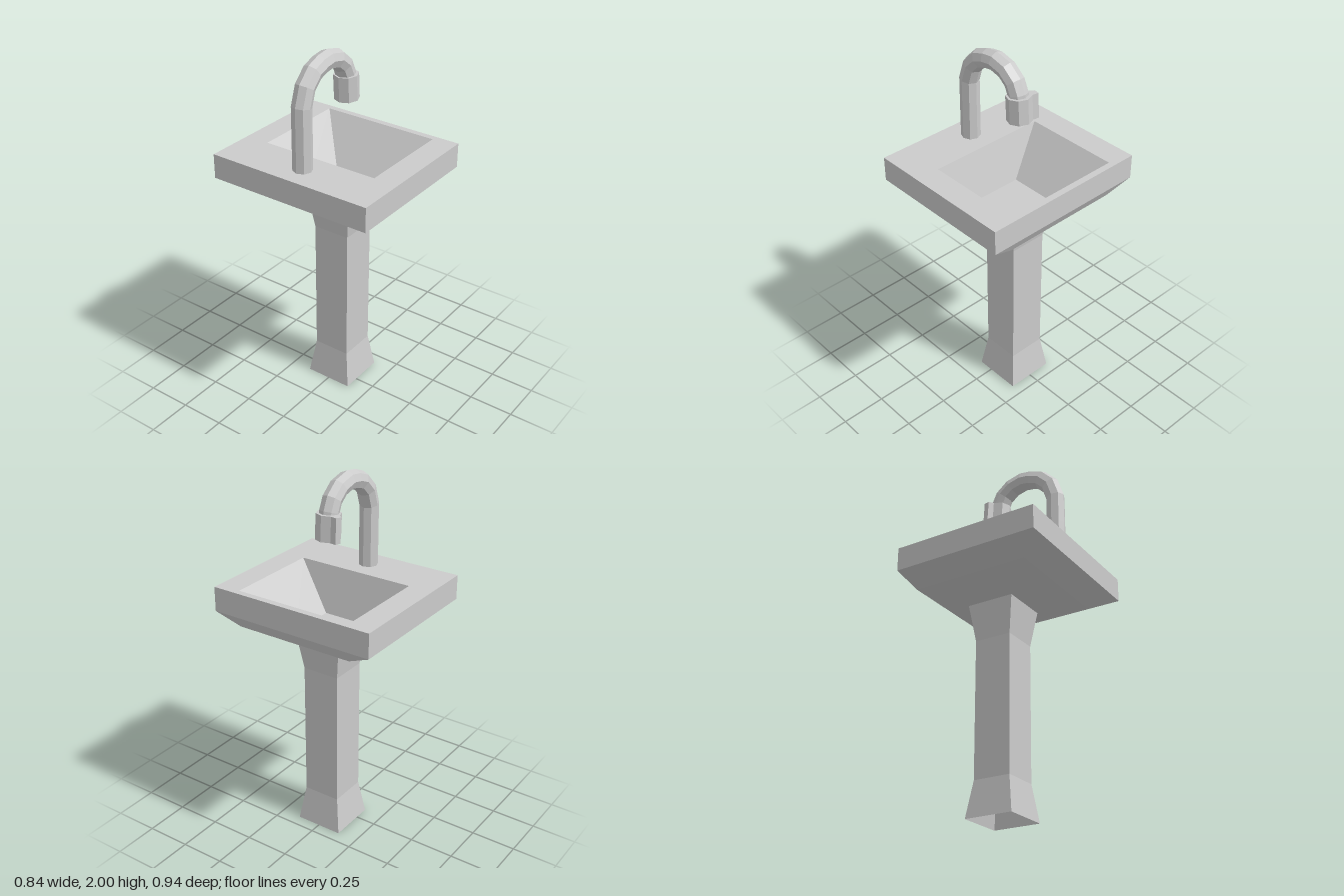
import * as THREE from 'three';

const material = new THREE.MeshStandardMaterial({ color: 0xcccccc, flatShading: true, side: THREE.DoubleSide });

// Skin through rectangular rings [y, centreX, halfX, halfZ]; optionally closes the last ring.
function loftRings(rings, closeEnd) {
  const corners = rings.map(([y, cx, hx, hz]) => [
    [cx - hx, y, hz], [cx + hx, y, hz], [cx + hx, y, -hz], [cx - hx, y, -hz],
  ]);
  const positions = [];
  const quad = (a, b, c, d) => positions.push(...a, ...b, ...c, ...a, ...c, ...d);
  for (let r = 0; r < corners.length - 1; r++) {
    for (let i = 0; i < 4; i++) {
      const j = (i + 1) % 4;
      quad(corners[r][i], corners[r][j], corners[r + 1][j], corners[r + 1][i]);
    }
  }
  if (closeEnd) quad(...corners[corners.length - 1]);
  const geometry = new THREE.BufferGeometry();
  geometry.setAttribute('position', new THREE.Float32BufferAttribute(positions, 3));
  geometry.computeVertexNormals();
  return geometry;
}

export function createModel() {
  const model = new THREE.Group();
  model.name = 'pedestalSink';
  const add = (name, geometry) => {
    const mesh = new THREE.Mesh(geometry, material);
    mesh.name = name;
    model.add(mesh);
    return mesh;
  };

  // Square column flared at both ends, open underneath
  add('pedestal', loftRings([
    [0, 0.05, 0.135, 0.135],
    [0.2, 0.05, 0.105, 0.105],
    [0.965, 0.05, 0.105, 0.105],
    [1.17, 0.05, 0.135, 0.135],
  ], false));

  // Underside, slab edge, rim and sunken bowl in one skin
  add('basin', loftRings([
    [1.17, 0.05, 0.135, 0.135],
    [1.235, 0.05, 0.335, 0.335],
    [1.3, 0, 0.42, 0.47],
    [1.435, 0, 0.42, 0.47],
    [1.435, 0.115, 0.27, 0.335],
    [1.185, 0.05, 0.135, 0.135],
  ], true));

  // Octagonal gooseneck pipe, with one tube section per path point
  const path = [
    [-0.288, 1.43], [-0.288, 1.6], [-0.288, 1.77], [-0.258, 1.86], [-0.2, 1.918],
    [-0.14, 1.94], [-0.083, 1.948], [-0.01, 1.93], [0.045, 1.885], [0.07, 1.83], [0.079, 1.77],
  ].map(([x, y]) => new THREE.Vector3(x, y, 0));
  const curve = new THREE.CatmullRomCurve3(path);
  curve.getPointAt = curve.getPoint;
  curve.getTangentAt = curve.getTangent;
  add('faucetPipe', new THREE.TubeGeometry(curve, path.length - 1, 0.052, 8));

  // Octagonal nozzle with a small lug at its rear left corner
  const outline = [];
  for (let i = 0; i < 8; i++) {
    const a = i * Math.PI / 4;
    outline.push(new THREE.Vector2(0.066 * Math.cos(a), 0.066 * Math.sin(a)));
    if (i === 1) outline.push(new THREE.Vector2(0.052, 0.081), new THREE.Vector2(0.02, 0.089));
  }
  const nozzleGeometry = new THREE.ExtrudeGeometry(new THREE.Shape(outline), { depth: 0.135, bevelEnabled: false });
  nozzleGeometry.rotateX(-Math.PI / 2);
  const nozzle = add('nozzle', nozzleGeometry);
  nozzle.position.set(0.083, 1.69, 0);
  nozzle.rotation.z = 0.06;

  return model;
}
